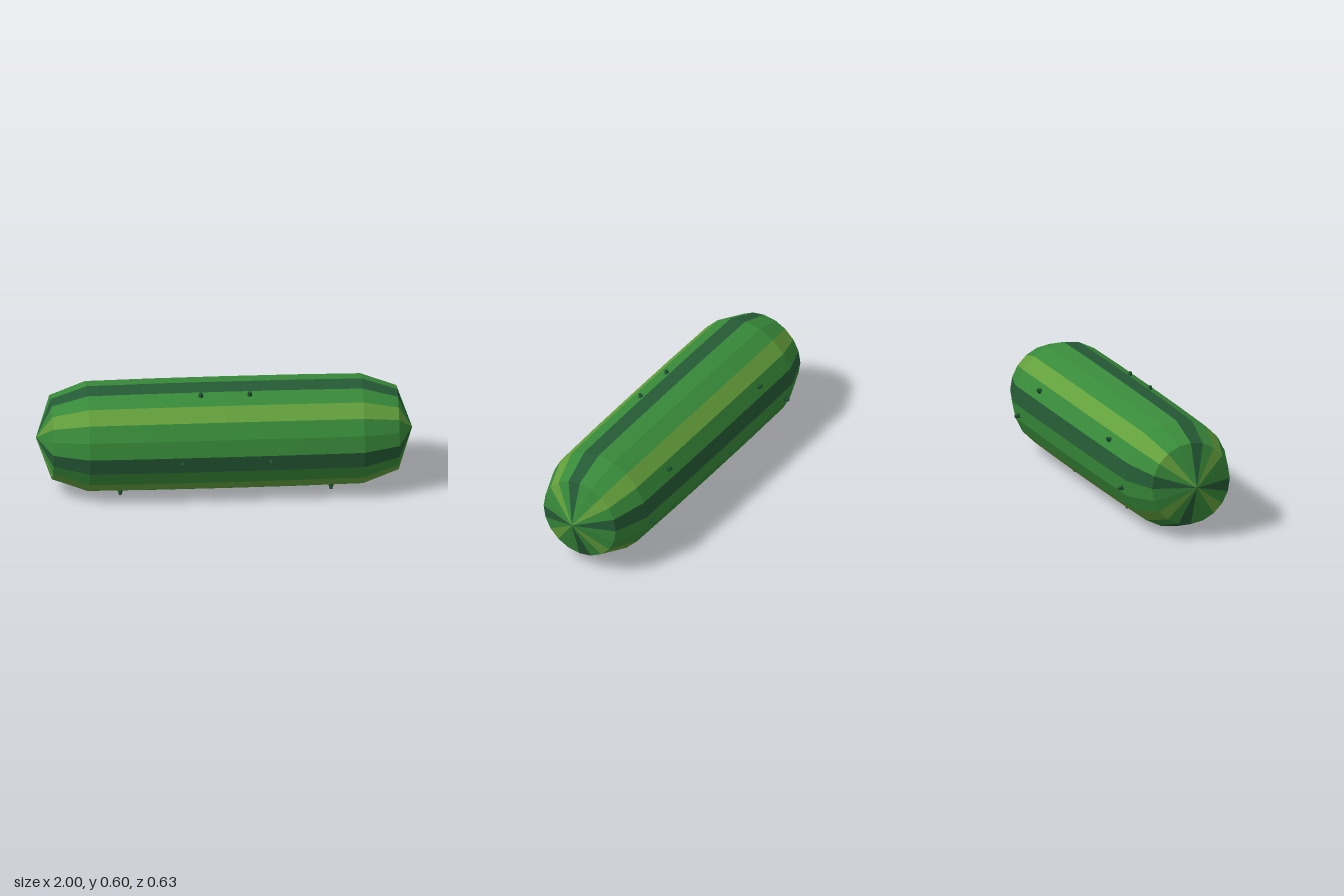
import * as THREE from 'three';
import { mergeGeometries } from 'three/addons/utils/BufferGeometryUtils.js';

const SIDES = 20, STEP = Math.PI * 2 / SIDES, AXIS_Y = 0.3;

function mat(color) {
  return new THREE.MeshStandardMaterial({ color, flatShading: true });
}

// One lengthwise strip of skin; angles run from the top towards the front
function strip(profile, i) {
  const g = new THREE.LatheGeometry(profile, 1, i * STEP - Math.PI / 2, STEP);
  return g.rotateZ(-Math.PI / 2);
}

export function createModel() {
  const model = new THREE.Group();
  model.name = 'cucumber';

  // Body profile: radius against distance along the length
  const half = [[0, 1], [0.226, 0.92], [0.295, 0.73], [0.299, 0.37]];
  const profile = [
    ...half.map(([r, x]) => new THREE.Vector2(r, -x)),
    new THREE.Vector2(0.3, 0),
    ...half.slice().reverse().map(([r, x]) => new THREE.Vector2(r, x)),
  ];

  // Skin stripes repeat every five sides: dark, mid, light, mid, mid
  const stripes = [
    ['darkStripes', 0x255a35, [0]],
    ['midStripes', 0x388a3a, [1, 3, 4]],
    ['lightStripes', 0x64a03c, [2]],
  ];
  for (const [name, color, slots] of stripes) {
    const parts = [];
    for (let i = 0; i < SIDES; i++) if (slots.includes(i % 5)) parts.push(strip(profile, i));
    const mesh = new THREE.Mesh(mergeGeometries(parts), mat(color));
    mesh.name = name;
    mesh.position.y = AXIS_Y;
    model.add(mesh);
  }

  // Small warts in mirrored pairs: [degrees from the top towards the front, x]
  const warts = new THREE.Group();
  warts.name = 'warts';
  const bump = new THREE.CylinderGeometry(0.008, 0.019, 0.034, 6).translate(0, 0.3, 0);
  const wartMat = mat(0x1f4f2e);
  for (const [deg, x] of [[22.5, 0.13], [97.5, 0.235], [154.5, 0.56], [201, 0.34], [258.5, 0.67], [298, 0.45]]) {
    for (const s of [-1, 1]) {
      const wart = new THREE.Mesh(bump, wartMat);
      wart.name = 'wart';
      wart.position.set(s * x, AXIS_Y, 0);
      wart.rotation.x = THREE.MathUtils.degToRad(deg);
      warts.add(wart);
    }
  }
  model.add(warts);
  return model;
}
